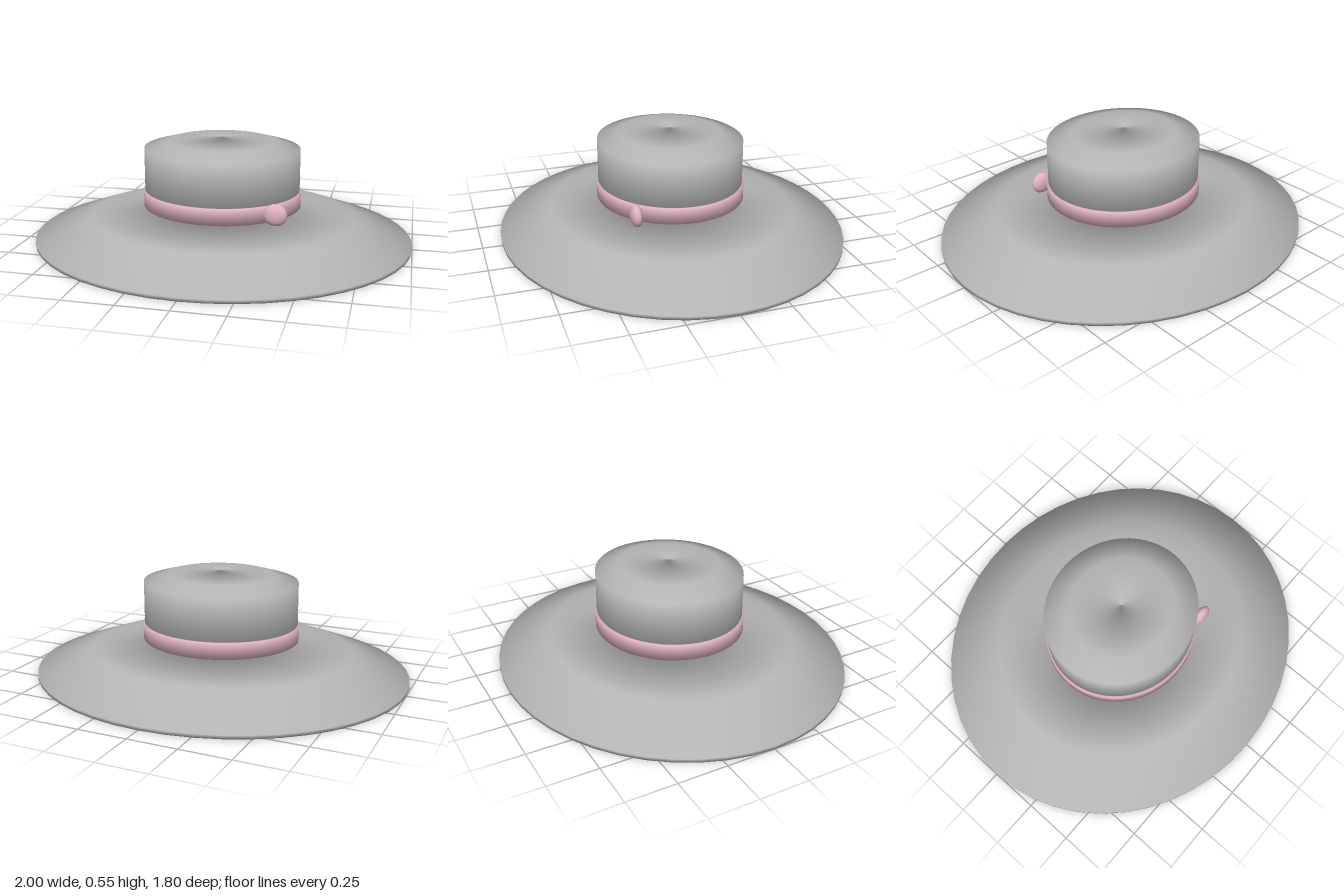
import * as THREE from 'three';

const SEGMENTS = 48;

// Revolves a closed profile (listed counter-clockwise) into an oval shell with soft normals
function ovalShell(profile, depth) {
  const points = profile.map(([r, y]) => new THREE.Vector2(r, y));
  const n = points.length;
  const edgeNormal = (i) => {
    const d = points[(i + 1) % n].clone().sub(points[i % n]).normalize();
    return new THREE.Vector2(d.y, -d.x);
  };
  const soft = points.map((p, i) => edgeNormal(i).add(edgeNormal(i + n - 1)).normalize());
  const geometry = new THREE.LatheGeometry([...points, points[0].clone()], SEGMENTS);
  const normals = geometry.attributes.normal;
  for (let s = 0; s <= SEGMENTS; s++) {
    const a = (s / SEGMENTS) * Math.PI * 2;
    for (let j = 0; j <= n; j++) {
      const v = soft[j % n];
      normals.setXYZ(s * (n + 1) + j, v.x * Math.sin(a), v.y, v.x * Math.cos(a));
    }
  }
  geometry.scale(1, 1, depth);
  return geometry;
}

export function createModel() {
  const hat = new THREE.Group();
  hat.name = 'sunHat';

  const felt = new THREE.MeshStandardMaterial({ color: 0xb6b6b6 });
  felt.name = 'grey felt';
  const ribbon = new THREE.MeshStandardMaterial({ color: 0xe0b3c2 });
  ribbon.name = 'pink ribbon';

  const add = (name, geometry, material) => {
    const mesh = new THREE.Mesh(geometry, material);
    mesh.name = name;
    hat.add(mesh);
    return mesh;
  };

  // Wide drooping brim with an open centre
  add('brim', ovalShell([
    [0.4, 0.172], [0.7, 0.112], [1, 0], [1, 0.018], [0.7, 0.127], [0.4, 0.187],
  ], 0.9), felt);

  // Hollow crown with a bevelled shoulder and a pinched top
  add('crown', ovalShell([
    [0.41, 0.172], [0.41, 0.49], [0.28, 0.527], [0, 0.545],
    [0, 0.53], [0.275, 0.512], [0.395, 0.478], [0.395, 0.172],
  ], 0.92), felt);

  // Ribbon band around the foot of the crown
  add('band', ovalShell([
    [0.417, 0.18], [0.417, 0.268], [0.402, 0.268], [0.402, 0.18],
  ], 0.925), ribbon);

  // Flattened knot on the front left of the band
  const knot = add('knot', new THREE.SphereGeometry(1, 16, 10), ribbon);
  knot.scale.set(0.06, 0.057, 0.031);
  knot.position.set(0.333, 0.226, 0.28);

  return hat;
}
